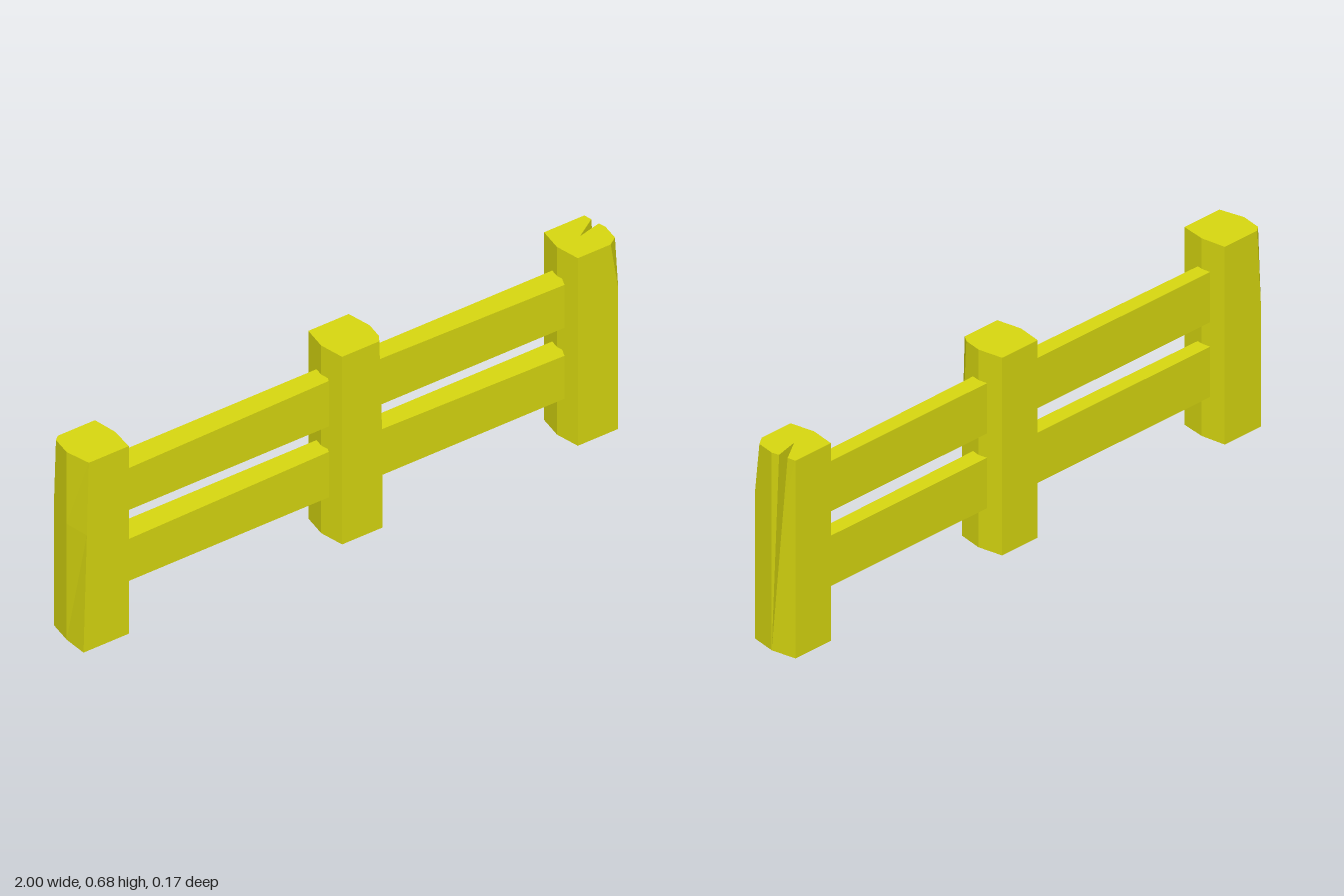
import * as THREE from 'three';

const H = 0.68; // post height

// Joins equal-length rings of points into a faceted skin; the last ring may be capped.
function loft(rings, capOutline) {
  const pos = [];
  const tri = (a, b, c) => {
    const area = b.clone().sub(a).cross(c.clone().sub(a)).length();
    if (area > 1e-8) for (const p of [a, b, c]) pos.push(p.x, p.y, p.z);
  };
  for (let r = 0; r < rings.length - 1; r++) {
    const lo = rings[r], hi = rings[r + 1], n = lo.length;
    for (let i = 0; i < n; i++) {
      const j = (i + 1) % n;
      tri(lo[i], lo[j], hi[j]);
      tri(lo[i], hi[j], hi[i]);
    }
  }
  if (capOutline) {
    const top = rings[rings.length - 1];
    for (const [a, b, c] of THREE.ShapeUtils.triangulateShape(capOutline, [])) tri(top[a], top[b], top[c]);
  }
  const geo = new THREE.BufferGeometry();
  geo.setAttribute('position', new THREE.Float32BufferAttribute(pos, 3));
  geo.computeVertexNormals();
  return geo;
}

// Each point is [x, z] or [x, z, topX, topZ, startY]: it leaves (x, z) at startY and reaches the top position at H.
function postGeometry(points) {
  const levels = [...new Set([0, ...points.map(p => p[4] ?? 0), H])].sort((a, b) => a - b);
  const rings = levels.map(y => points.map(([x, z, tx = x, tz = z, start = 0]) => {
    const t = Math.max(0, (y - start) / (H - start));
    return new THREE.Vector3(x + (tx - x) * t, y, z + (tz - z) * t);
  }));
  return loft(rings, rings[rings.length - 1].map(p => new THREE.Vector2(p.x, -p.z)));
}

// Plank from x0 to x1 whose front top edge is worn down by c0 at one end and c1 at the other.
function railGeometry(x0, x1, bottom, c0, c1) {
  const top = bottom + 0.173, z = 0.031;
  const ring = (x, c) => [
    [bottom, z], [bottom, -z], [top, -z], [top, z - c * 0.55], [top - c, z],
  ].map(([y, w]) => new THREE.Vector3(x, y, w));
  return loft([ring(x0, c0), ring(x1, c1)]);
}

export function createModel() {
  const group = new THREE.Group();
  const wood = new THREE.MeshStandardMaterial({ color: 0xd9d910, flatShading: true, side: THREE.DoubleSide });
  wood.name = 'yellow wood';
  const add = (name, geo) => {
    const mesh = new THREE.Mesh(geo, wood);
    mesh.name = name;
    group.add(mesh);
  };

  // Posts: six-sided, open below, with chipped corners
  add('rightPost', postGeometry([
    [-0.82, 0], [-0.832, -0.085],
    [-0.985, -0.085, -0.97, -0.085, 0.42], [-0.985, -0.085, -0.988, -0.07, 0.42],
    [-1, 0], [-1, 0.085, -0.98, 0.085, 0], [-0.832, 0.085],
  ]));
  add('middlePost', postGeometry([
    [0.125, 0], [0.11, -0.085], [-0.04, -0.085], [-0.055, 0], [-0.04, 0.085],
    [0.11, 0.085, 0.098, 0.085, 0.3], [0.11, 0.085, 0.114, 0.062, 0.3],
  ]));
  // The last post has a deep split running down its outer edge
  add('leftPost', postGeometry([
    [1, 0], [1, 0, 0.994, -0.025, 0], [1, 0, 0.91, -0.005, 0], [1, 0, 0.989, -0.056, 0],
    [0.985, -0.085], [0.835, -0.085], [0.82, 0], [0.835, 0.085],
    [0.985, 0.085, 0.957, 0.085, 0.51], [0.985, 0.085, 0.989, 0.063, 0.51],
  ]));

  // Two rails in each bay
  for (const [level, y] of [['lower', 0.145], ['upper', 0.402]]) {
    add(level + 'RightRail', railGeometry(-0.85, -0.03, y, 0.022, 0.008));
    add(level + 'LeftRail', railGeometry(0.1, 0.85, y, 0.006, 0.018));
  }
  return group;
}
